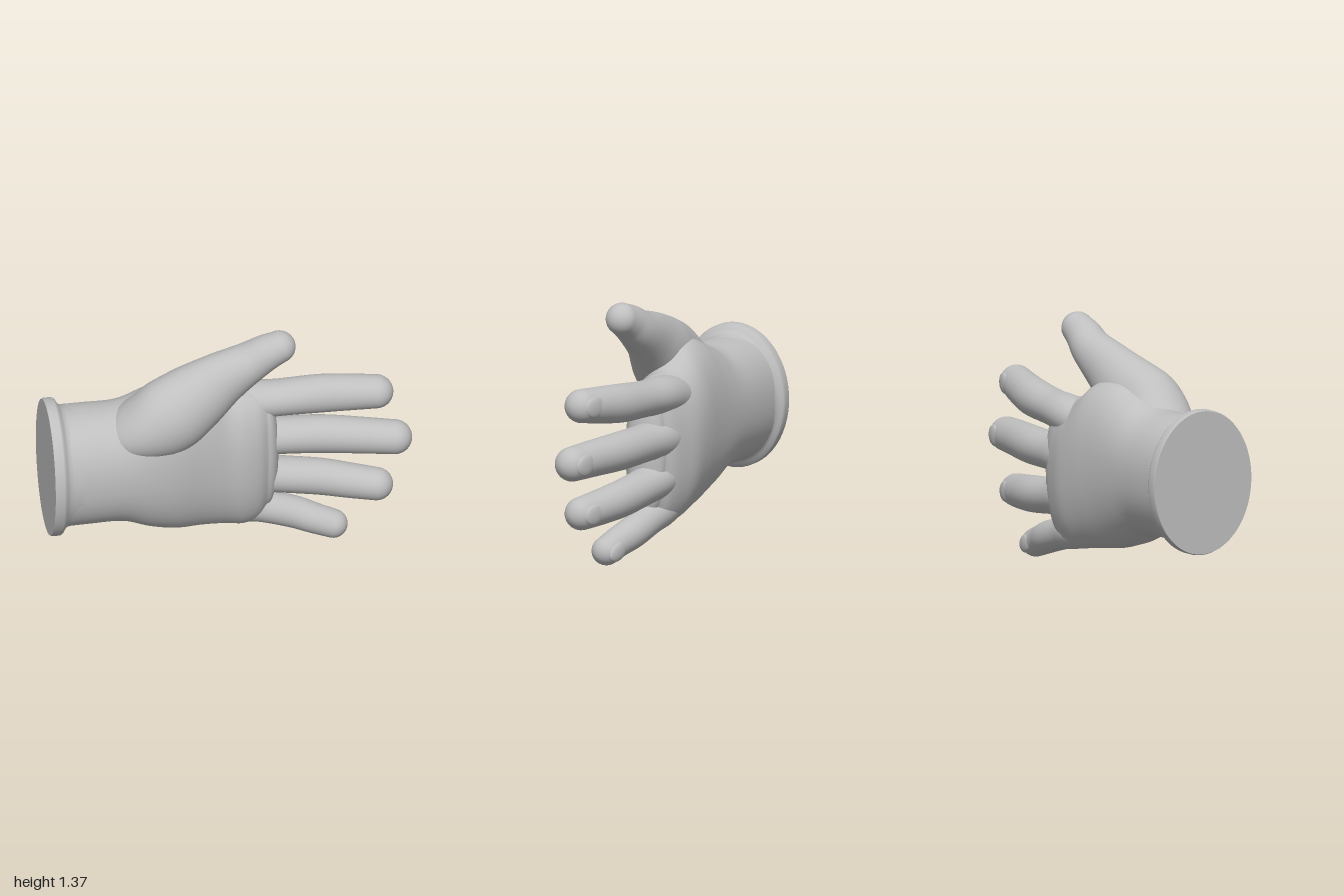
import * as THREE from 'three';

const skin = new THREE.MeshStandardMaterial({ color: 0xbfbfbf });
skin.name = 'plain grey';

const SIDES = 40;
const signedPow = (v, e) => Math.sign(v) * Math.pow(Math.abs(v), e);

// Smooth tube through sections [x, y, z, half width, half depth], closed by a dome.
// fixedAxis keeps all rings upright; power below 1 makes the rings boxier.
function loft(sections, { fixedAxis = null, power = 1, dome = 1, steps = 8 } = {}) {
  const path = new THREE.CatmullRomCurve3(
    sections.map((s) => new THREE.Vector3(s[0], s[1], s[2])), false, 'catmullrom');
  const size = new THREE.CatmullRomCurve3(
    sections.map((s) => new THREE.Vector3(s[3], s[4], 0)), false, 'catmullrom');
  const positions = [];
  const index = [];
  let rings = 0;

  const addRing = (centre, along, halfWidth, halfDepth) => {
    const wide = new THREE.Vector3(-along.y, along.x, 0).normalize();
    const deep = new THREE.Vector3().crossVectors(along, wide);
    for (let j = 0; j < SIDES; j++) {
      const a = (j / SIDES) * Math.PI * 2;
      const p = centre.clone()
        .addScaledVector(wide, signedPow(Math.cos(a), power) * halfWidth)
        .addScaledVector(deep, signedPow(Math.sin(a), power) * halfDepth);
      positions.push(p.x, p.y, p.z);
    }
    rings++;
  };

  const count = (sections.length - 1) * steps;
  for (let i = 0; i <= count; i++) {
    const t = i / count;
    const r = size.getPoint(t);
    addRing(path.getPoint(t), fixedAxis || path.getTangent(t), r.x, r.y);
  }

  // rounded end
  const end = path.getPoint(1);
  const dir = fixedAxis || path.getTangent(1);
  const last = size.getPoint(1);
  const reach = Math.min(last.x, last.y) * dome;
  for (let i = 1; i <= 10; i++) {
    const a = (i / 10) * Math.PI * 0.5;
    const k = Math.max(Math.cos(a), 0.001);
    addRing(end.clone().addScaledVector(dir, reach * Math.sin(a)), dir, last.x * k, last.y * k);
  }

  for (let i = 0; i < rings - 1; i++) {
    for (let j = 0; j < SIDES; j++) {
      const a = i * SIDES + j;
      const b = i * SIDES + ((j + 1) % SIDES);
      index.push(a, b, a + SIDES, b, b + SIDES, a + SIDES);
    }
  }
  const geometry = new THREE.BufferGeometry();
  geometry.setAttribute('position', new THREE.Float32BufferAttribute(positions, 3));
  geometry.setIndex(index);
  geometry.computeVertexNormals();
  return geometry;
}

// Palm and wrist rows: x, bottom, top, back, front
const PALM = [
  [-0.95, 0.305, 0.985, -0.28, 0.275],
  [-0.78, 0.305, 0.985, -0.275, 0.265],
  [-0.6, 0.298, 0.99, -0.27, 0.255],
  [-0.45, 0.235, 1.05, -0.27, 0.24],
  [-0.3, 0.19, 1.1, -0.275, 0.21],
  [-0.15, 0.17, 1.08, -0.285, 0.16],
  [-0.02, 0.15, 0.985, -0.285, 0.12],
  [0.08, 0.135, 0.965, -0.262, 0.1],
  [0.16, 0.16, 0.95, -0.235, 0.07],
  [0.21, 0.22, 0.92, -0.2, 0.03],
];

// Finger rows: x, y, z, half width, half depth
const FINGERS = {
  indexFinger: [
    [-0.12, 0.82, -0.13, 0.1, 0.1],
    [0.1, 0.865, -0.125, 0.105, 0.115],
    [0.28, 0.878, -0.11, 0.098, 0.108],
    [0.5, 0.895, -0.085, 0.105, 0.102],
    [0.66, 0.912, -0.045, 0.1, 0.097],
    [0.8, 0.928, -0.002, 0.092, 0.092],
  ],
  middleFinger: [
    [-0.12, 0.645, -0.14, 0.1, 0.11],
    [0.1, 0.64, -0.13, 0.115, 0.118],
    [0.28, 0.637, -0.112, 0.102, 0.11],
    [0.52, 0.635, -0.085, 0.104, 0.104],
    [0.74, 0.632, -0.035, 0.099, 0.098],
    [0.9, 0.628, 0.002, 0.094, 0.094],
  ],
  ringFinger: [
    [-0.12, 0.47, -0.13, 0.1, 0.1],
    [0.1, 0.425, -0.12, 0.11, 0.115],
    [0.27, 0.395, -0.105, 0.099, 0.107],
    [0.5, 0.368, -0.08, 0.1, 0.1],
    [0.66, 0.35, -0.04, 0.096, 0.095],
    [0.8, 0.337, 0, 0.09, 0.09],
  ],
  littleFinger: [
    [-0.15, 0.3, -0.1, 0.08, 0.08],
    [0.06, 0.24, -0.1, 0.1, 0.1],
    [0.2, 0.202, -0.095, 0.088, 0.09],
    [0.36, 0.158, -0.08, 0.088, 0.087],
    [0.47, 0.123, -0.05, 0.083, 0.083],
    [0.57, 0.09, -0.03, 0.078, 0.08],
  ],
};

const THUMB = [
  [-0.66, 0.8, 0.03, 0.1, 0.12],
  [-0.52, 0.87, 0.06, 0.16, 0.18],
  [-0.36, 0.945, 0.08, 0.215, 0.185],
  [-0.2, 1.035, 0.05, 0.195, 0.165],
  [-0.05, 1.125, 0.03, 0.155, 0.13],
  [0.1, 1.205, 0.022, 0.115, 0.113],
  [0.19, 1.262, 0.03, 0.1, 0.1],
  [0.265, 1.298, 0.035, 0.088, 0.088],
];

export function createModel() {
  const hand = new THREE.Group();
  hand.name = 'hand';
  const add = (name, geometry, parent = hand) => {
    const mesh = new THREE.Mesh(geometry, skin);
    mesh.name = name;
    parent.add(mesh);
    return mesh;
  };

  add('palm', loft(
    PALM.map(([x, lo, hi, back, front]) =>
      [x, (lo + hi) / 2, (back + front) / 2, (hi - lo) / 2, (front - back) / 2]),
    { fixedAxis: new THREE.Vector3(1, 0, 0), power: 0.92, dome: 0.6 }));

  add('thumb', loft(THUMB));

  // fingers, each with a faint nail on the back of the tip
  for (const [name, rows] of Object.entries(FINGERS)) {
    const finger = new THREE.Group();
    finger.name = name;
    hand.add(finger);
    add(name + 'Body', loft(rows), finger);
    const [x, y, z, width, depth] = rows[rows.length - 1];
    const previous = rows[rows.length - 2];
    const nail = add(name + 'Nail', new THREE.SphereGeometry(1, 24, 16), finger);
    nail.scale.set(0.07, width * 0.62, 0.02);
    nail.position.set(x, y, z - depth * 0.87);
    nail.rotation.set(0, -Math.atan2(z - previous[2], x - previous[0]),
      Math.atan2(y - previous[1], x - previous[0]));
  }

  // rolled cuff around the wrist opening
  const cuff = new THREE.Group();
  cuff.name = 'cuff';
  cuff.position.y = 0.645;
  cuff.scale.z = 0.8;
  hand.add(cuff);
  const profile = [
    [0.39, -1], [0.395, -0.99], [0.395, -0.95], [0.388, -0.938],
    [0.368, -0.927], [0.352, -0.912], [0.345, -0.89], [0.338, -0.84],
  ].map(([r, h]) => new THREE.Vector2(r, h));
  add('cuffRim', new THREE.LatheGeometry(profile, 64).rotateZ(-Math.PI / 2), cuff);
  add('cuffEnd', new THREE.CircleGeometry(0.39, 64).rotateY(-Math.PI / 2).translate(-1, 0, 0), cuff);

  return hand;
}
